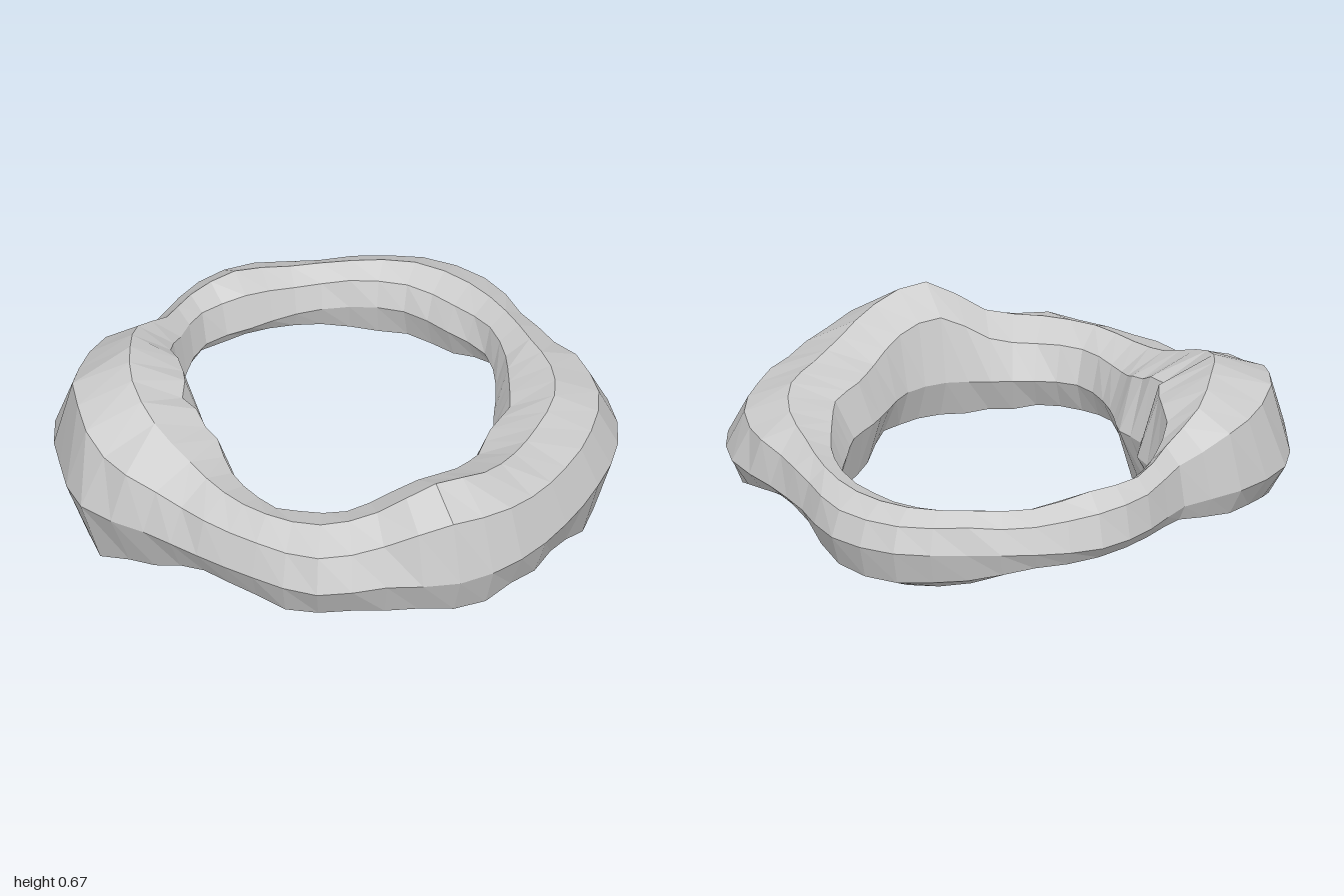
import * as THREE from 'three';

// Cross-sections every 15 degrees from +x towards +z:
// [inner radius, outer radius, lowest y, highest y]
const SECTIONS = [
  [0.55, 1.00, 0.08, 0.53], [0.52, 0.98, 0.04, 0.53], [0.54, 0.98, 0.12, 0.55],
  [0.60, 1.00, 0.13, 0.60], [0.61, 1.00, 0.13, 0.64], [0.58, 0.94, 0.15, 0.53],
  [0.59, 0.97, 0.16, 0.50], [0.60, 0.91, 0.17, 0.50], [0.53, 0.88, 0.20, 0.50],
  [0.46, 0.90, 0.10, 0.53], [0.42, 1.00, 0.00, 0.60], [0.47, 0.99, 0.06, 0.66],
  [0.46, 0.99, 0.15, 0.67], [0.57, 0.90, 0.20, 0.62], [0.63, 0.80, 0.25, 0.54],
  [0.69, 0.86, 0.27, 0.50], [0.68, 0.93, 0.26, 0.50], [0.71, 0.93, 0.24, 0.46],
  [0.74, 0.94, 0.18, 0.46], [0.75, 1.00, 0.16, 0.46], [0.71, 0.99, 0.17, 0.46],
  [0.70, 0.90, 0.25, 0.47], [0.63, 0.90, 0.28, 0.49], [0.57, 0.98, 0.20, 0.51],
];
const SEGMENTS = 48, SIDES = 8, MID_Y = 0.33;

// Section at a segment: a listed one, or a smooth blend halfway between two
function sectionAt(i) {
  const n = SECTIONS.length, k = Math.floor(i / 2);
  const at = (j) => SECTIONS[(j + n) % n];
  if (i % 2 === 0) return at(k);
  return at(k).map((v, c) => (9 * (v + at(k + 1)[c]) - at(k - 1)[c] - at(k + 2)[c]) / 16);
}

function seeded(seed) {
  return () => (seed = (seed * 16807) % 2147483647) / 2147483647;
}

// Lumpy low-poly ring lofted through the cross-sections
function ringGeometry() {
  const random = seeded(17), positions = [], indices = [];
  for (let i = 0; i < SEGMENTS; i++) {
    const [inner, outer, low, high] = sectionAt(i);
    const theta = (i / SEGMENTS) * Math.PI * 2;
    const mid = (inner + outer) / 2, half = (outer - inner) / 2;
    for (let j = 0; j < SIDES; j++) {
      const phi = (j / SIDES) * Math.PI * 2, s = Math.sin(phi);
      // Slight unevenness on the diagonal corners only
      const bump = j % 2 ? 0.97 + random() * 0.1 : 1;
      const r = mid + half * Math.cos(phi) * bump;
      const y = MID_Y + s * bump * (s > 0 ? high - MID_Y : MID_Y - low);
      positions.push(r * Math.cos(theta), y, r * Math.sin(theta));
      const next = ((i + 1) % SEGMENTS) * SIDES, j2 = (j + 1) % SIDES;
      const a = i * SIDES + j, b = i * SIDES + j2, c = next + j2, d = next + j;
      indices.push(a, b, c, a, c, d);
    }
  }
  const geometry = new THREE.BufferGeometry();
  geometry.setAttribute('position', new THREE.Float32BufferAttribute(positions, 3));
  geometry.setIndex(indices);
  geometry.computeVertexNormals();
  return geometry;
}

export function createModel() {
  const group = new THREE.Group();
  group.name = 'lumpyRing';
  const material = new THREE.MeshStandardMaterial({ color: 0xcccccc, flatShading: true });
  const ring = new THREE.Mesh(ringGeometry(), material);
  ring.name = 'ring';
  group.add(ring);
  return group;
}
